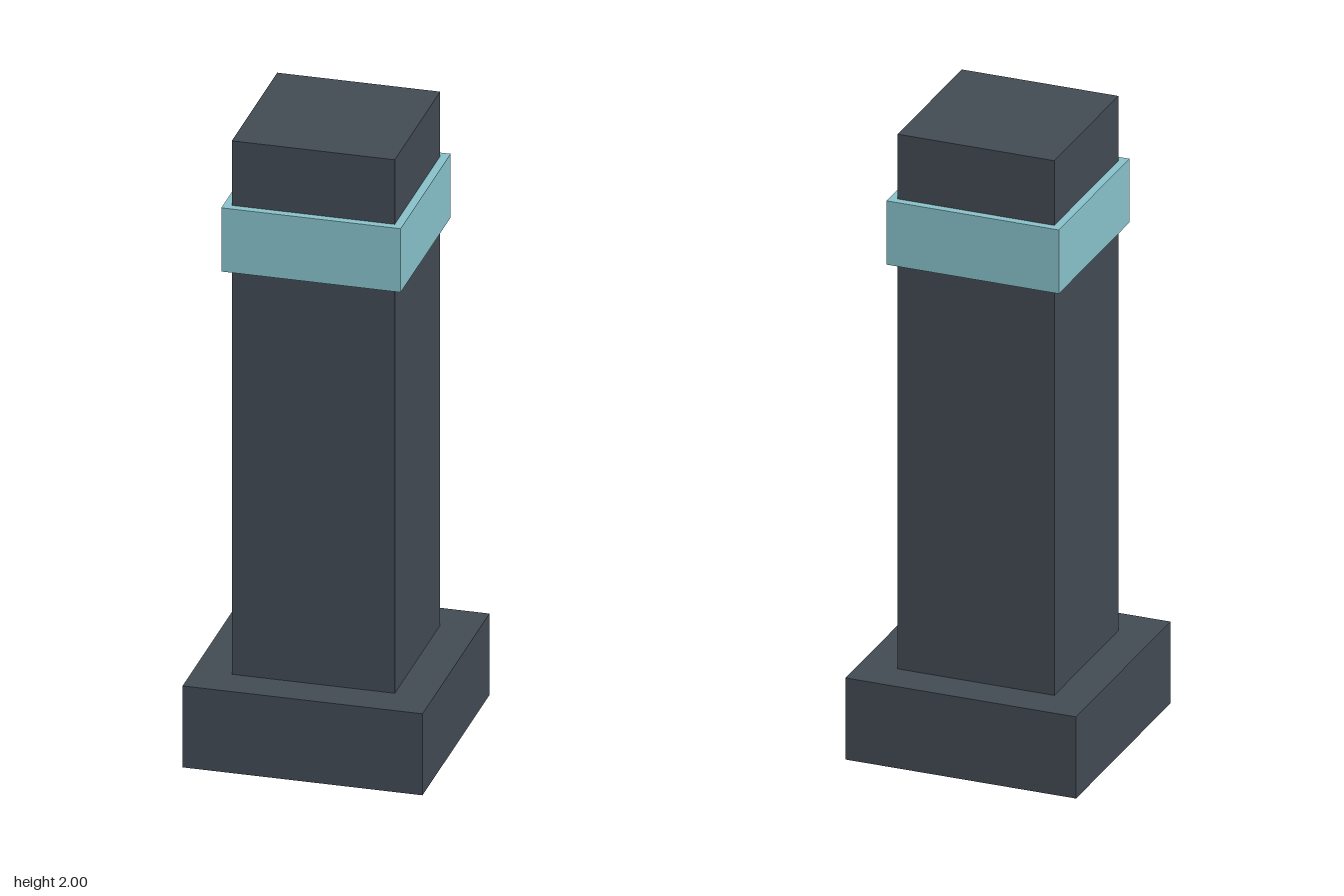
import * as THREE from 'three';

export function createModel() {
  const slate = new THREE.MeshStandardMaterial({ color: 0x424a53 });
  slate.name = 'dark slate';
  const teal = new THREE.MeshStandardMaterial({ color: 0x88c1ca });
  teal.name = 'pale teal';

  const model = new THREE.Group();
  model.name = 'bollard';

  // Square block spanning bottom to top, centred on the post axis
  const addBlock = (name, width, bottom, top, material) => {
    const mesh = new THREE.Mesh(new THREE.BoxGeometry(width, top - bottom, width), material);
    mesh.name = name;
    mesh.position.y = (bottom + top) / 2;
    model.add(mesh);
  };

  addBlock('base', 0.736, 0, 0.265, slate);
  addBlock('post', 0.5, 0.265, 2, slate);
  addBlock('band', 0.55, 1.583, 1.79, teal); // collar wrapped around the post

  return model;
}
